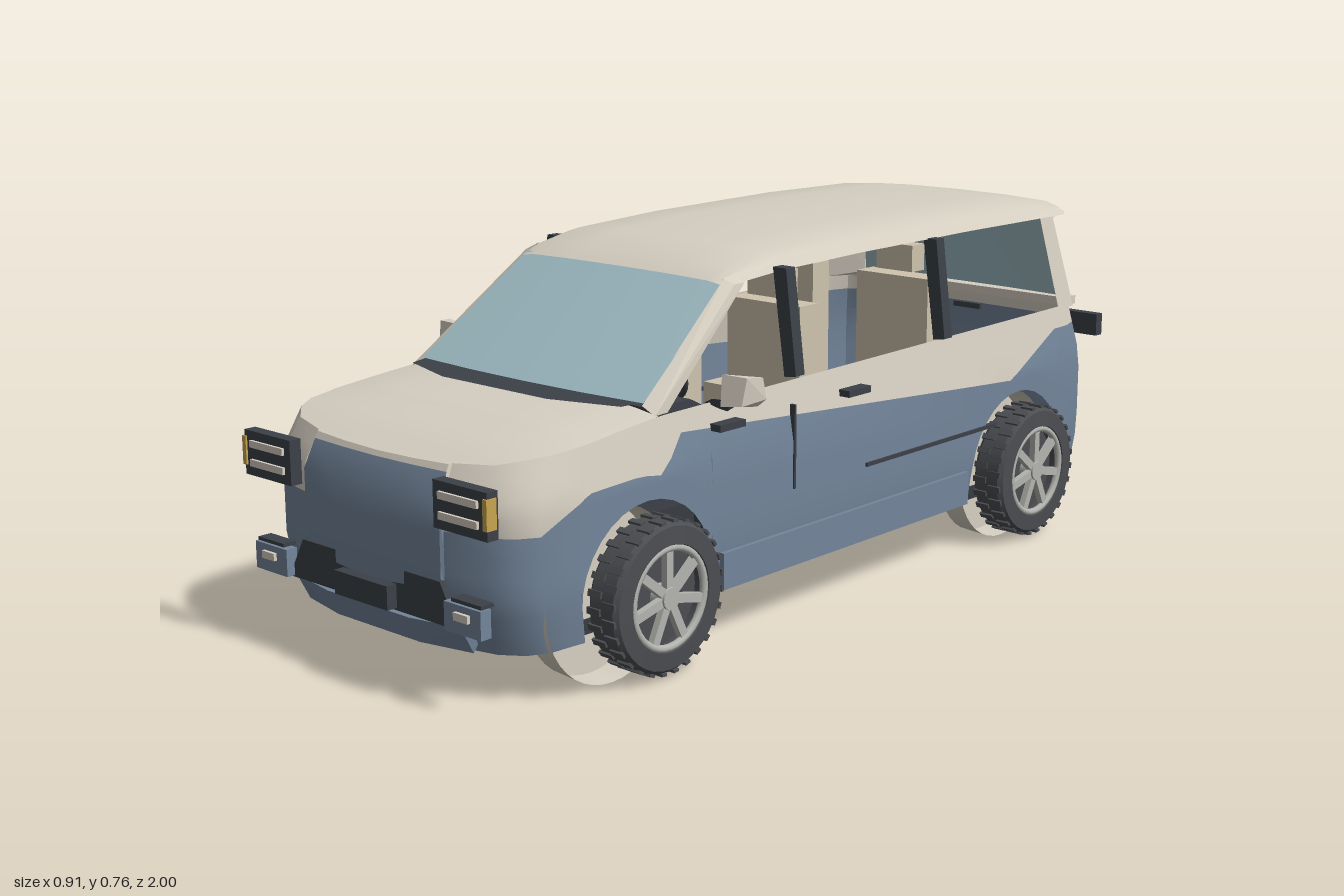
import * as THREE from 'three';
import { toCreasedNormals } from 'three/addons/utils/BufferGeometryUtils.js';
import { ConvexGeometry } from 'three/addons/geometries/ConvexGeometry.js';

const mat = (color) => new THREE.MeshStandardMaterial({ color, side: THREE.DoubleSide, roughness: 0.8 });
const cream = mat(0xd6cfc2), blue = mat(0x73859a), dark = mat(0x3c4148), glass = mat(0x9fbcc4), under = mat(0x32363a),
  tyreMat = mat(0x4b4d51), alloy = mat(0xb4b4b0), seatMat = mat(0xcfc4ae), red = mat(0x94443a), amber = mat(0xc9a550);
const V = (x, y, z) => new THREE.Vector3(x, y, z);
const FRONT = 0.605, REAR = -0.635, AXLE = 0.16, ARCH = 0.18;

// Piecewise-linear lookup along z (table runs from front to rear)
function lookup(table, z) {
  if (z >= table[0][0]) return table[0][1];
  for (let i = 1; i < table.length; i++) {
    const [z0, a] = table[i - 1], [z1, b] = table[i];
    if (z >= z1) return a + (b - a) * (z0 - z) / (z0 - z1);
  }
  return table[table.length - 1][1];
}
const belt = (z) => lookup([[0.975, 0.44], [0.9, 0.463], [0.55, 0.49], [-0.98, 0.51]], z);
const split = (z) => lookup([[0.965, 0.43], [0.96, 0.325], [0.87, 0.325], [0.76, 0.385], [0.62, 0.39],
  [0.56, 0.38], [0.5, 0.45], [-0.6, 0.37], [-0.8, 0.46], [-0.98, 0.46]], z);
function bottom(z) {
  let y = lookup([[0.9, 0.095], [0.5, 0.11], [-0.98, 0.13]], z);
  for (const c of [FRONT, REAR]) {
    const d = Math.abs(z - c);
    if (d < ARCH) y = AXLE + Math.sqrt(ARCH * ARCH - d * d);
  }
  return y;
}

// Plan outline of one side, front centre to rear centre
const plan = [[0, 0.975], [0.1, 0.972], [0.195, 0.965], [0.2, 0.96], [0.29, 0.94], [0.335, 0.91], [0.36, 0.87], [0.368, 0.82]];
const zs = [0.5, 0.4, 0.36, 0.18, 0, -0.2, -0.36, -0.84];
for (const c of [FRONT, REAR]) {
  zs.push(c + ARCH + 0.001, c - ARCH - 0.001);
  for (let i = 0; i <= 16; i++) zs.push(c + (ARCH - 0.0001) * Math.cos(i * Math.PI / 16));
}
zs.sort((a, b) => b - a).forEach((z) => plan.push([0.374, z]));
plan.push([0.37, -0.87], [0.355, -0.92], [0.31, -0.955], [0.2, -0.972], [0, -0.98]);
const ring = [...plan, ...plan.slice(0, -1).reverse().map(([x, z]) => [-x, z])];

// Body tucks in below the bumper line and above the shoulder
function bodyPoint([x, z], y) {
  const inset = y < 0.2 ? (0.2 - y) * 0.3 : y > 0.38 ? (y - 0.38) * 0.5 : 0;
  const zIn = z > 0 ? inset * THREE.MathUtils.smoothstep(z, 0.6, 0.9) : -0.4 * inset * THREE.MathUtils.smoothstep(-z, 0.8, 0.95);
  return V(x * (1 - inset), y, z - zIn);
}

// Surface through rows of points of equal length
function skin(rows, crease = 0.5) {
  const n = rows[0].length, index = [];
  for (let i = 0; i < rows.length - 1; i++) for (let j = 0; j < n - 1; j++) {
    const a = i * n + j, b = a + n;
    index.push(a, b, a + 1, b, b + 1, a + 1);
  }
  const g = new THREE.BufferGeometry().setFromPoints(rows.flat());
  g.setIndex(index);
  return toCreasedNormals(g, crease);
}

export function createModel() {
  const model = new THREE.Group();
  const add = (name, geo, m, parent = model) => {
    const mesh = new THREE.Mesh(geo, m);
    mesh.name = name;
    parent.add(mesh);
    return mesh;
  };
  const box = (name, m, x0, x1, y0, y1, z0, z1, parent = model) => {
    const b = add(name, new THREE.BoxGeometry(x1 - x0, y1 - y0, z1 - z0), m, parent);
    b.position.set((x0 + x1) / 2, (y0 + y1) / 2, (z0 + z1) / 2);
    return b;
  };
  const pairBox = (name, m, x0, x1, ...r) => { box(name, m, x0, x1, ...r); box(name, m, -x1, -x0, ...r); };
  const hull = (name, m, pts) => add(name, new ConvexGeometry(pts.map((p) => V(...p))), m);
  const pairHull = (name, m, pts) => { hull(name, m, pts); hull(name, m, pts.map(([x, y, z]) => [-x, y, z])); };

  // Two-tone lower body
  const band = (from, to, n) => Array.from({ length: n + 1 }, (_, i) =>
    ring.map((p) => bodyPoint(p, THREE.MathUtils.lerp(from(p[1]), to(p[1]), i / n))));
  add('lowerBody', skin(band(bottom, split, 6)), blue);
  add('upperBody', skin(band(split, belt, 4)), cream);

  // Underside
  const floor = new THREE.Shape(ring.map((p) => { const q = bodyPoint(p, 0.11); return new THREE.Vector2(q.x, q.z); }));
  add('floor', new THREE.ShapeGeometry(floor).rotateX(Math.PI / 2), under).position.y = 0.115;

  // Bonnet, spanning the two belt lines with a slight crown
  const hood = [...plan.filter(([, z]) => z > 0.59), [0.374, 0.555]].map((p) => {
    const q = bodyPoint(p, belt(p[1]));
    const crown = 0.016 * THREE.MathUtils.clamp((0.97 - p[1]) / 0.2, 0, 1);
    return Array.from({ length: 13 }, (_, i) => {
      const u = i / 6 - 1;
      return V(q.x * u, q.y + crown * (1 - u ** 4), q.z);
    });
  });
  add('bonnet', skin(hood), cream);
  hull('cowl', dark, [[-0.31, 0.51, 0.55], [0.31, 0.51, 0.55], [-0.3, 0.508, 0.6], [0.3, 0.508, 0.6],
    [-0.15, 0.509, 0.65], [0.15, 0.509, 0.65], [0, 0.49, 0.57]]);

  // Roof shell: z, height, half width, edge drop
  const roof = [[0.3, 0.707, 0.282, 0.015], [0.25, 0.732, 0.288, 0.03], [0.15, 0.752, 0.297, 0.04], [-0.1, 0.762, 0.303, 0.043],
    [-0.5, 0.766, 0.305, 0.045], [-0.8, 0.76, 0.303, 0.042], [-0.9, 0.75, 0.295, 0.035], [-0.935, 0.728, 0.275, 0.01], [-0.87, 0.71, 0.28, 0.005]];
  const edge = [[-1.05, 1], [-1, 0.5], [-0.88, 0.2], [-0.5, 0.05], [0, 0], [0.5, 0.05], [0.88, 0.2], [1, 0.5], [1.05, 1]];
  add('roof', skin(roof.map(([z, y, w, d]) => edge.map(([u, k]) => V(u * w, y - k * d, z)))), cream);

  // Glass front and rear
  const pane = (name, yA, zA, wA, yB, zB, wB, bow) => add(name, skin([0, 0.5, 1].map((t) => [-1, -0.5, 0, 0.5, 1].map((u) =>
    V(u * (wA + (wB - wA) * t), yA + (yB - yA) * t, zA + (zB - zA) * t + bow * (1 - u * u))))), glass);
  pane('windscreen', 0.51, 0.558, 0.318, 0.707, 0.285, 0.284, 0.015);
  pane('rearWindow', 0.515, -0.925, 0.3, 0.71, -0.865, 0.27, -0.015);
  box('tailgateLedge', cream, -0.32, 0.32, 0.495, 0.515, -0.95, -0.905);

  // Pillars
  pairHull('frontPillar', cream, [[0.316, 0.505, 0.56], [0.349, 0.49, 0.56], [0.345, 0.49, 0.52], [0.283, 0.71, 0.29],
    [0.303, 0.7, 0.28], [0.303, 0.7, 0.25], [0.285, 0.72, 0.25]]);
  pairHull('rearPillar', cream, [[0.35, 0.5, -0.83], [0.345, 0.5, -0.9], [0.3, 0.5, -0.94], [0.295, 0.51, -0.92],
    [0.315, 0.72, -0.79], [0.31, 0.72, -0.85], [0.27, 0.715, -0.875]]);
  for (const z of [0.155, -0.355]) {
    const a = z - 0.014, b = z + 0.014;
    pairHull('doorPillar', dark, [a, b].flatMap((q) => [[0.34, 0.5, q], [0.37, 0.505, q], [0.308, 0.722, q], [0.342, 0.722, q]]));
  }

  // Door furniture
  for (const z of [0.38, -0.02]) pairBox('doorHandle', dark, 0.36, 0.388, 0.438, 0.452, z - 0.037, z + 0.037);
  pairBox('doorSeam', dark, 0.365, 0.377, 0.275, 0.45, 0.174, 0.18);
  pairBox('slidingRail', dark, 0.365, 0.379, 0.274, 0.282, -0.6, -0.06);
  pairBox('sill', blue, 0.35, 0.382, 0.115, 0.19, -0.43, 0.4);

  // Mirrors
  pairHull('mirror', cream, [[0.368, 0.545, 0.385], [0.375, 0.498, 0.39], [0.385, 0.552, 0.41], [0.45, 0.548, 0.365], [0.455, 0.505, 0.36],
    [0.44, 0.55, 0.4], [0.435, 0.495, 0.41], [0.39, 0.49, 0.42], [0.44, 0.49, 0.37]]);
  pairHull('mirrorArm', dark, [[0.34, 0.49, 0.41], [0.34, 0.475, 0.38], [0.36, 0.5, 0.41], [0.4, 0.5, 0.4], [0.4, 0.487, 0.39], [0.39, 0.478, 0.4]]);

  // Front face
  pairBox('headlight', dark, 0.207, 0.35, 0.34, 0.43, 0.962, 0.988);
  for (const y of [0.367, 0.405]) pairBox('lightBar', cream, 0.225, 0.328, y - 0.007, y + 0.007, 0.98, 0.994);
  pairBox('indicator', amber, 0.342, 0.353, 0.36, 0.418, 0.968, 0.992);
  pairBox('fogHousing', blue, 0.23, 0.328, 0.153, 0.208, 0.965, 0.99);
  pairBox('fogFrame', dark, 0.245, 0.325, 0.209, 0.216, 0.955, 0.985);
  pairBox('fogLight', cream, 0.262, 0.3, 0.18, 0.195, 0.985, 0.997);
  hull('grille', dark, [0.9, 0.972].flatMap((z) => [[-0.2, 0.232, z], [0.2, 0.232, z], [-0.245, 0.15, z], [0.245, 0.15, z]]));
  hull('bumperLip', blue, [[-0.25, 0.15, 0.9], [0.25, 0.15, 0.9], [-0.24, 0.15, 0.96], [0.24, 0.15, 0.96], [-0.12, 0.148, 0.98],
    [0.12, 0.148, 0.98], [-0.24, 0.094, 0.93], [0.24, 0.094, 0.93], [-0.12, 0.094, 0.955], [0.12, 0.094, 0.955]]);
  box('frontPlate', dark, -0.077, 0.077, 0.155, 0.202, 0.97, 0.995);

  // Rear face
  pairBox('tailLight', dark, 0.225, 0.372, 0.42, 0.472, -0.99, -0.965);
  for (const y of [0.436, 0.456]) pairBox('tailBar', red, 0.24, 0.358, y - 0.005, y + 0.005, -0.996, -0.985);
  pairBox('reflector', red, 0.22, 0.29, 0.142, 0.15, -0.998, -0.99);
  box('rearPlate', dark, -0.075, 0.075, 0.3, 0.352, -0.992, -0.97);
  box('tailgateHandle', dark, -0.04, 0.04, 0.445, 0.458, -0.985, -0.955);

  // Seats: two rows of two
  for (const z of [0, -0.45]) for (const x of [-0.165, 0.165]) {
    const seat = new THREE.Group();
    seat.name = 'seat';
    seat.position.set(x, 0, z);
    model.add(seat);
    box('backrest', seatMat, -0.1, 0.1, 0.31, 0.615, -0.03, 0.03, seat);
    box('headrest', seatMat, -0.05, 0.05, 0.625, 0.685, -0.023, 0.023, seat);
    box('cushion', seatMat, -0.1, 0.1, 0.26, 0.33, -0.02, 0.19, seat);
    box('seatBase', dark, -0.08, 0.08, 0.12, 0.26, 0, 0.16, seat);
  }

  // Dashboard and steering wheel
  hull('dashboard', dark, [-0.33, 0.33].flatMap((x) => [[x, 0.38, 0.4], [x, 0.48, 0.4], [x, 0.5, 0.44], [x, 0.5, 0.55], [x, 0.38, 0.55]]));
  box('instruments', dark, 0.1, 0.23, 0.5, 0.535, 0.4, 0.45);
  box('screen', dark, -0.06, 0.06, 0.49, 0.57, 0.365, 0.375);
  const steering = new THREE.Group();
  steering.name = 'steeringWheel';
  add('steeringRim', new THREE.TorusGeometry(0.055, 0.008, 8, 24), dark, steering);
  for (let i = 0; i < 3; i++) {
    const spoke = add('steeringSpoke', new THREE.BoxGeometry(0.012, 0.055, 0.008).translate(0, 0.0275, 0), dark, steering);
    spoke.rotation.z = i * Math.PI * 2 / 3 + Math.PI;
  }
  add('steeringColumn', new THREE.CylinderGeometry(0.014, 0.018, 0.1, 10).rotateX(Math.PI / 2).translate(0, 0, 0.05), dark, steering);
  steering.position.set(0.165, 0.51, 0.34);
  steering.rotation.x = 0.4;
  model.add(steering);

  // Wheels, with the outer face along local +x
  const tyre = [[0.102, -0.04], [0.14, -0.04], [0.148, -0.03], [0.148, 0.026], [0.14, 0.036], [0.105, 0.038], [0.1, 0.028], [0.102, -0.04]];
  for (const z of [FRONT, REAR]) for (const s of [-1, 1]) {
    const wheel = new THREE.Group();
    wheel.name = z > 0 ? 'frontWheel' : 'rearWheel';
    const tyreGeo = new THREE.LatheGeometry(tyre.map((p) => new THREE.Vector2(...p)), 36).rotateZ(-Math.PI / 2);
    add('tyre', toCreasedNormals(tyreGeo, 0.4), tyreMat, wheel);
    for (let i = 0; i < 56; i++) {
      const lug = add('tread', new THREE.BoxGeometry(0.033, 0.006, 0.013).translate(i % 2 ? 0.017 : -0.02, 0.149, 0), tyreMat, wheel);
      lug.rotation.x = i * Math.PI / 28;
    }
    add('rimRing', new THREE.TorusGeometry(0.098, 0.008, 8, 36).rotateY(Math.PI / 2).translate(0.03, 0, 0), alloy, wheel);
    add('brakeDisc', new THREE.CylinderGeometry(0.1, 0.1, 0.01, 32).rotateZ(Math.PI / 2), tyreMat, wheel);
    add('hub', new THREE.CylinderGeometry(0.022, 0.026, 0.04, 16).rotateZ(-Math.PI / 2).translate(0.018, 0, 0), alloy, wheel);
    for (let i = 0; i < 7; i++) {
      const spoke = add('spoke', new THREE.BoxGeometry(0.014, 0.085, 0.018).translate(0.027, 0.055, 0), alloy, wheel);
      spoke.rotation.x = i * Math.PI * 2 / 7;
    }
    wheel.position.set(s * 0.395, AXLE, z);
    if (s < 0) wheel.rotation.y = Math.PI;
    model.add(wheel);

    // Wheel-well drum, set a little ahead of the wheel
    const well = [[0, -0.03], [0.168, -0.03], [0.172, 0.03]].map((p) => new THREE.Vector2(...p));
    const liner = add('wheelWell', toCreasedNormals(new THREE.LatheGeometry(well, 40).rotateZ(-Math.PI / 2 * s), 0.5), cream);
    liner.position.set(s * 0.33, 0.173, z + (z > 0 ? 0.085 : 0.035));
  }
  return model;
}
